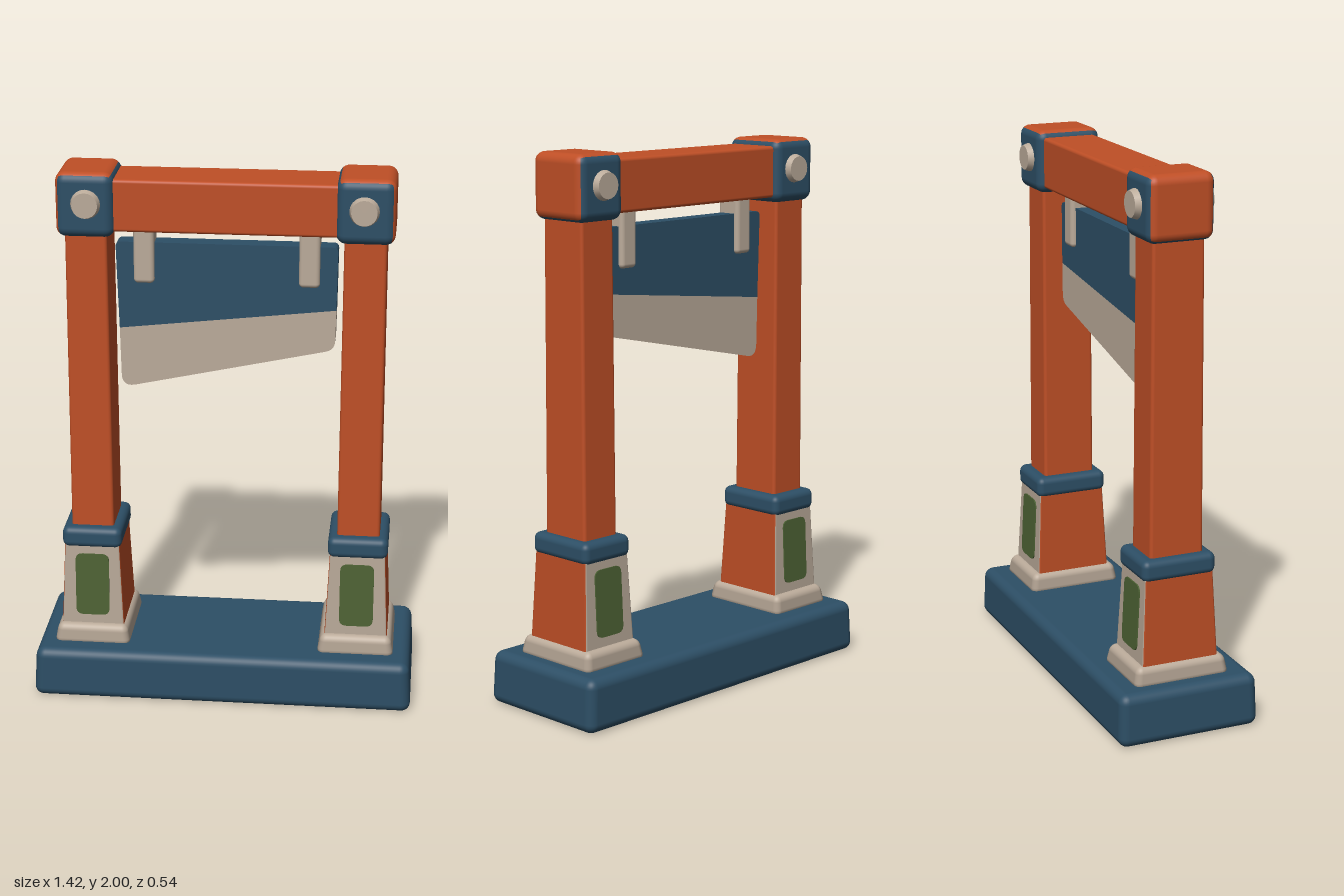
import * as THREE from 'three';
import { RoundedBoxGeometry } from 'three/addons/geometries/RoundedBoxGeometry.js';

const mat = (name, color) => {
  const m = new THREE.MeshStandardMaterial({ color });
  m.name = name;
  return m;
};

export function createModel() {
  const blue = mat('slate blue', 0x2d4f66);
  const orange = mat('burnt orange', 0xbf4f26);
  const cream = mat('cream', 0xbbab9a);
  const green = mat('moss green', 0x4d6234);
  const model = new THREE.Group();

  const add = (parent, name, geometry, material, x = 0, y = 0, z = 0) => {
    const mesh = new THREE.Mesh(geometry, material);
    mesh.name = name;
    mesh.position.set(x, y, z);
    parent.add(mesh);
    return mesh;
  };

  // Rounded box, narrowed towards the top by the factors tx and tz
  const block = (w, h, d, r, tx = 1, tz = 1) => {
    const g = new RoundedBoxGeometry(w, h, d, 4, r);
    const p = g.attributes.position;
    for (let i = 0; i < p.count; i++) {
      const t = p.getY(i) / h + 0.5;
      p.setX(i, p.getX(i) * (1 + (tx - 1) * t));
      p.setZ(i, p.getZ(i) * (1 + (tz - 1) * t));
    }
    return g;
  };

  // Closed outline with rounded corners
  const roundedShape = (corners, r) => {
    const pts = corners.map(([x, y]) => new THREE.Vector2(x, y));
    const s = new THREE.Shape();
    pts.forEach((p, i) => {
      const prev = pts[(i + pts.length - 1) % pts.length];
      const next = pts[(i + 1) % pts.length];
      const radius = Array.isArray(r) ? r[i] : r;
      const a = prev.clone().sub(p).setLength(radius).add(p);
      const b = next.clone().sub(p).setLength(radius).add(p);
      if (i === 0) s.moveTo(a.x, a.y);
      else s.lineTo(a.x, a.y);
      if (radius > 0) s.quadraticCurveTo(p.x, p.y, b.x, b.y);
    });
    s.closePath();
    return s;
  };

  const plate = (shape, depth) => {
    const g = new THREE.ExtrudeGeometry(shape, { depth, bevelEnabled: false, curveSegments: 6 });
    return g.translate(0, 0, -depth / 2);
  };

  // Base slab and top beam
  add(model, 'base', block(1.42, 0.195, 0.54, 0.035, 0.985, 0.98), blue, 0, 0.0975);
  add(model, 'topBeam', block(0.9, 0.19, 0.205, 0.012), orange, 0, 1.88);

  const panelShape = roundedShape([[-0.063, -0.123], [0.063, -0.123], [0.063, 0.123], [-0.063, 0.123]], 0.028);
  const panelGeometry = plate(panelShape, 0.008);

  // Two mirrored columns
  for (const side of [-1, 1]) {
    const column = new THREE.Group();
    column.name = side > 0 ? 'leftColumn' : 'rightColumn';
    column.position.x = side * 0.496;
    model.add(column);

    add(column, 'plinth', block(0.29, 0.08, 0.37, 0.025, 0.9, 0.92), cream, 0, 0.22);
    add(column, 'pedestal', block(0.236, 0.34, 0.294, 0.008, 0.87, 0.89),
      [orange, orange, cream, cream, cream, cream], 0, 0.41);
    add(column, 'collar', block(0.222, 0.08, 0.282, 0.025), blue, 0, 0.605);
    add(column, 'post', block(0.158, 1.22, 0.204, 0.012, 0.95, 0.95), orange, 0, 1.21);

    // Head block with orange cap and outer side
    const [px, nx] = side > 0 ? [orange, blue] : [blue, orange];
    add(column, 'headBlock', block(0.208, 0.235, 0.25, 0.035),
      [px, nx, orange, blue, blue, blue], 0, 1.8825);

    // Panels and bolts on front and back
    for (const face of [-1, 1]) {
      const panel = add(column, 'panel', panelGeometry, green, 0, 0.418, face * 0.1395);
      panel.rotation.x = -face * 0.048;
      const bolt = add(column, 'bolt', new THREE.CylinderGeometry(0.046, 0.056, 0.03, 20),
        cream, side * -0.006, 1.89, face * 0.132);
      bolt.rotation.x = face * Math.PI / 2;
    }

    // Hanger straps holding the blade
    add(model, 'hanger', block(0.075, 0.22, 0.1, 0.016), cream, side * 0.297, 1.69);
  }

  // Slanted blade: body and edge
  const body = roundedShape([[-0.39, 1.405], [0.395, 1.495], [0.398, 1.73], [-0.4, 1.73]], [0, 0, 0.02, 0.02]);
  const edge = roundedShape([[-0.385, 1.175], [0.392, 1.345], [0.395, 1.495], [-0.39, 1.405]], [0.05, 0.035, 0, 0]);
  add(model, 'bladeBody', plate(body, 0.064), blue);
  add(model, 'bladeEdge', plate(edge, 0.064), cream);

  return model;
}
